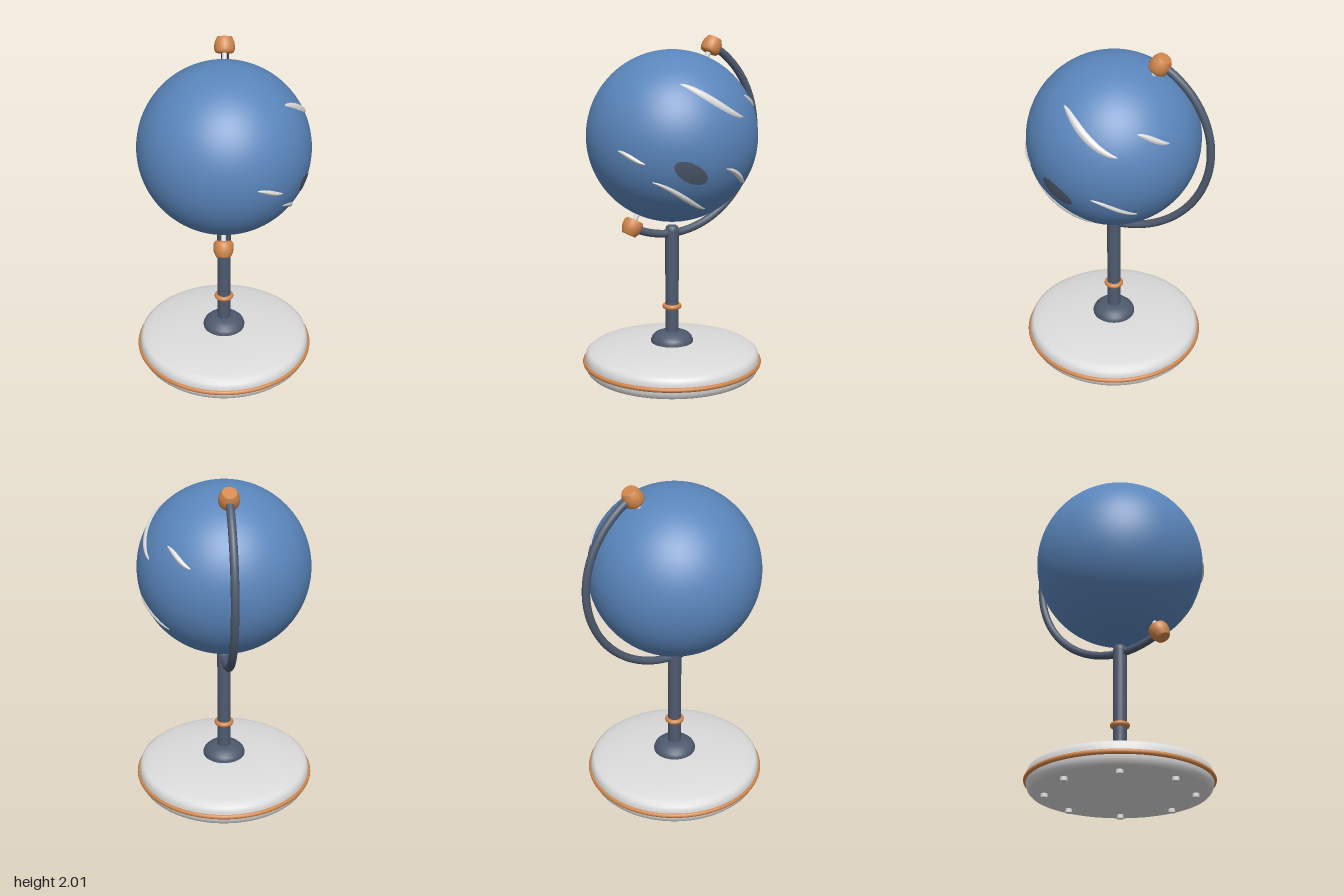
import * as THREE from 'three';

const mat = (name, color) => new THREE.MeshStandardMaterial({ name, color });
const rad = THREE.MathUtils.degToRad;

const R = 0.495;        // globe radius
const CY = 1.44;        // globe centre height
const RING = 0.575;     // support arc radius
const TILT = rad(28);   // axis tilt from vertical

const lathe = (pts, seg = 64) =>
  new THREE.LatheGeometry(pts.map(([r, y]) => new THREE.Vector2(r, y)), seg);

// Surface grid: fn(u, v) returns a point; u x v points outwards
function grid(nu, nv, fn) {
  const pos = [], idx = [];
  for (let i = 0; i <= nu; i++) {
    for (let j = 0; j <= nv; j++) {
      pos.push(...fn(i / nu, j / nv).toArray());
      if (i < nu && j < nv) {
        const a = i * (nv + 1) + j, b = a + nv + 1;
        idx.push(a, b, a + 1, b, b + 1, a + 1);
      }
    }
  }
  const g = new THREE.BufferGeometry();
  g.setAttribute('position', new THREE.Float32BufferAttribute(pos, 3));
  g.setIndex(idx);
  g.computeVertexNormals();
  return g;
}

// Point at longitude (0 = front, + = left) and latitude, in radians
const onSphere = (lon, lat, r) => new THREE.Vector3(
  r * Math.cos(lat) * Math.sin(lon), r * Math.sin(lat), r * Math.cos(lat) * Math.cos(lon));

// Raised S-shaped stroke lying on the globe, tapering to both ends
function strokeGeometry(lon0, lat0, lon1, lat1, width) {
  const path = (t) => {
    const s = 0.45 * t + 0.55 * t * t * (3 - 2 * t);
    return onSphere(rad(lon0 + (lon1 - lon0) * t), rad(lat0 + (lat1 - lat0) * s), 1);
  };
  return grid(32, 8, (u, v) => {
    const p = path(u);
    const along = path(u + 0.01).sub(path(u - 0.01)).normalize();
    const side = p.clone().cross(along).normalize();
    const taper = Math.pow(Math.max(0, Math.sin(Math.PI * u)), 0.6);
    const w = (v - 0.5) * width * (0.1 + 0.9 * taper) / R;
    const lift = -0.002 + 0.012 * Math.sin(Math.PI * v) * (0.3 + 0.7 * taper);
    return p.addScaledVector(side, w).normalize().multiplyScalar(R + lift);
  });
}

// Thin oval patch following the globe
function ovalGeometry(x, y, a, b, angle) {
  const n = new THREE.Vector3(x, y, Math.sqrt(R * R - x * x - y * y)).normalize();
  const east = new THREE.Vector3(0, 1, 0).cross(n).normalize();
  const north = n.clone().cross(east);
  return grid(8, 40, (u, v) => {
    const t = v * Math.PI * 2;
    const p = a * u * Math.cos(t), q = b * u * Math.sin(t);
    return n.clone().multiplyScalar(R)
      .addScaledVector(east, p * Math.cos(angle) - q * Math.sin(angle))
      .addScaledVector(north, p * Math.sin(angle) + q * Math.cos(angle))
      .normalize().multiplyScalar(R + 0.003);
  });
}

export function createModel() {
  const model = new THREE.Group();
  model.name = 'deskGlobe';

  const blue = mat('oceanBlue', 0x5a86bc);
  const white = mat('paleGrey', 0xdcdcdc);
  const copper = mat('copper', 0xd0864c);
  const slate = mat('slate', 0x4e5a6e);

  const add = (parent, name, geo, material, x = 0, y = 0, z = 0) => {
    const m = new THREE.Mesh(geo, material);
    m.name = name;
    m.position.set(x, y, z);
    parent.add(m);
    return m;
  };

  // Base disc with trim and feet
  add(model, 'base', lathe([
    [0, 0.022], [0.48, 0.022], [0.485, 0.022], [0.497, 0.026], [0.51, 0.04], [0.517, 0.06],
    [0.52, 0.085], [0.518, 0.115], [0.511, 0.14], [0.495, 0.153], [0.46, 0.164],
    [0.38, 0.18], [0.27, 0.194], [0.15, 0.201], [0, 0.204],
  ], 96), white);
  const trim = add(model, 'baseTrim', new THREE.TorusGeometry(0.519, 0.014, 14, 96), copper, 0, 0.087, 0);
  trim.rotation.x = Math.PI / 2;
  for (let i = 0; i < 8; i++) {
    const a = (i + 0.5) * Math.PI / 4;
    add(model, 'foot', new THREE.CylinderGeometry(0.02, 0.02, 0.03, 20), white,
      0.416 * Math.cos(a), 0.015, 0.416 * Math.sin(a));
  }

  // Post with flared collar and ring
  add(model, 'postCollar', lathe([
    [0.125, 0.19], [0.126, 0.212], [0.118, 0.232], [0.1, 0.25], [0.07, 0.263], [0.03, 0.268], [0, 0.268],
  ], 48), slate);
  add(model, 'post', lathe([
    [0.04, 0.2], [0.04, 0.5], [0.04, 0.88], [0.039, 0.892], [0.034, 0.905], [0.026, 0.911], [0, 0.912],
  ], 40), slate);
  const ring = add(model, 'postRing', new THREE.TorusGeometry(0.042, 0.015, 14, 40), copper, 0, 0.42, 0);
  ring.rotation.x = Math.PI / 2;

  // Globe with its markings
  const globe = new THREE.Group();
  globe.name = 'globe';
  globe.position.y = CY;
  model.add(globe);
  add(globe, 'sphere', new THREE.SphereGeometry(R, 96, 64), blue);
  const strokes = [
    [10.4, 43, 60, 17, 0.05],
    [-33, -2.5, -13.6, -9.9, 0.032],
    [-10, -22.3, 37.4, -48.4, 0.04],
    [42, -14.6, 75, -29.7, 0.036],
    [74, 30.3, 97, 20, 0.034],
  ];
  strokes.forEach((s) => add(globe, 'stroke', strokeGeometry(...s), white));
  add(globe, 'darkOval', ovalGeometry(0.135, -0.135, 0.108, 0.055, rad(-31)), slate);

  // Half-circle arm, turned towards the back left
  const arm = new THREE.Group();
  arm.name = 'arm';
  arm.position.y = CY;
  arm.rotation.y = rad(35);
  model.add(arm);
  const arc = add(arm, 'armArc', new THREE.TorusGeometry(RING, 0.023, 16, 80, Math.PI), slate);
  arc.rotation.z = -Math.PI / 2 - TILT;

  // Knob and pin at each pole of the tilted axis
  for (const turn of [0, Math.PI]) {
    const pole = new THREE.Group();
    pole.name = turn ? 'lowerPole' : 'upperPole';
    pole.rotation.z = turn - TILT;
    arm.add(pole);
    add(pole, 'knob', lathe([
      [0, -0.045], [0.044, -0.045], [0.047, -0.045], [0.054, -0.038], [0.058, -0.024], [0.058, 0],
      [0.054, 0.02], [0.043, 0.043], [0.04, 0.047], [0.037, 0.047], [0, 0.047],
    ], 32), copper, 0, RING, 0);
    add(pole, 'pin', new THREE.CylinderGeometry(0.014, 0.014, 0.08, 20), white, 0, 0.51, 0);
  }

  return model;
}
